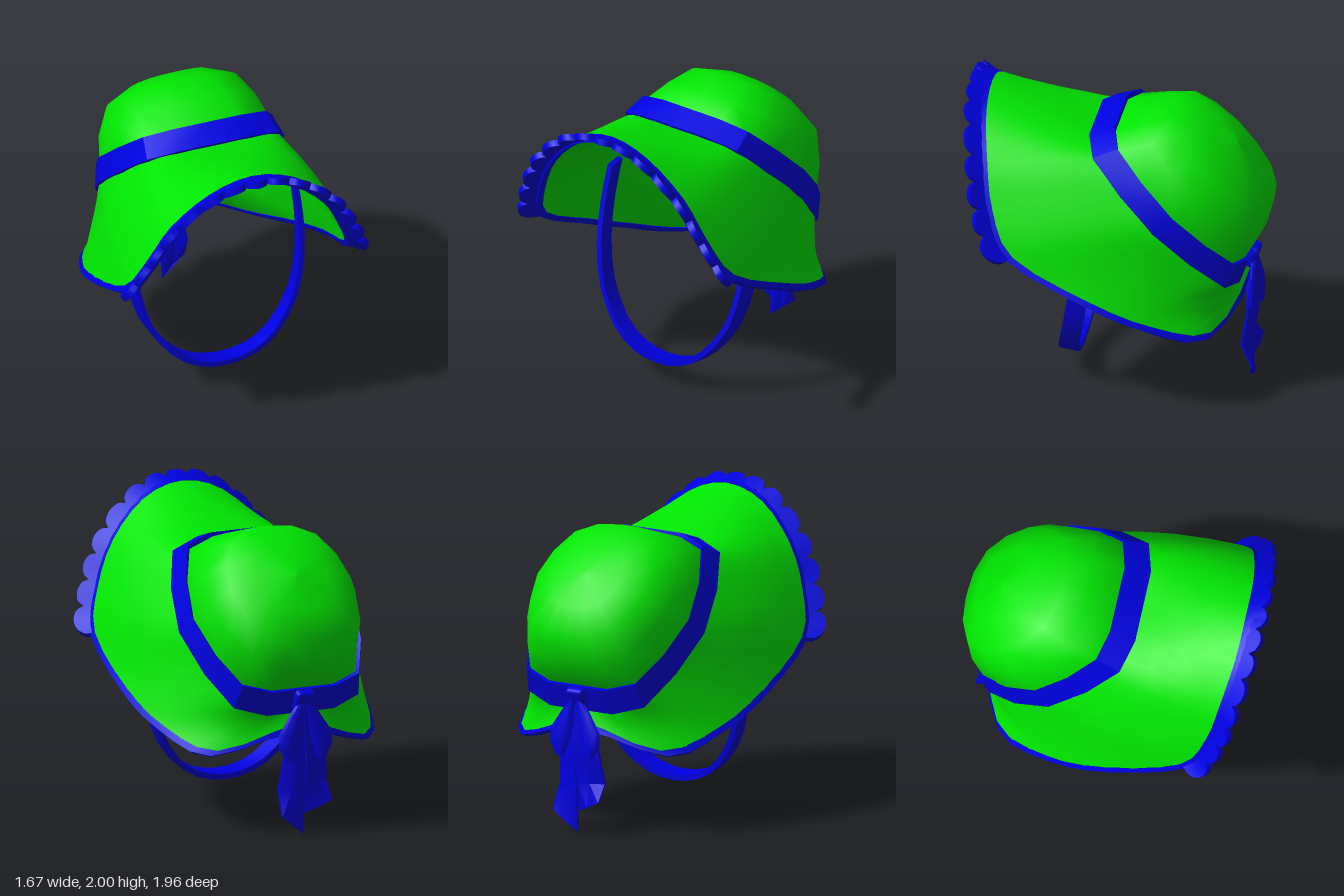
import * as THREE from 'three';
import { toCreasedNormals } from 'three/addons/utils/BufferGeometryUtils.js';
import { RoundedBoxGeometry } from 'three/addons/geometries/RoundedBoxGeometry.js';

const V = (x, y, z) => new THREE.Vector3(x, y, z);
const CENTRE = V(0, 1.36, -0.4);   // middle of the tilted crown base
const TILT = -Math.PI / 4;

// Skin a list of equal-length cross-sections
function loft(rows, { ring = true, closed = false, caps = false, crease = 0 } = {}) {
  const n = rows[0].length, m = rows.length, index = [];
  for (let i = 0; i < (closed ? m : m - 1); i++) {
    for (let j = 0; j < (ring ? n : n - 1); j++) {
      const a = i * n + j, b = i * n + (j + 1) % n;
      const c = ((i + 1) % m) * n + j, d = ((i + 1) % m) * n + (j + 1) % n;
      index.push(a, b, c, b, d, c);
    }
  }
  if (caps) {
    const e = (m - 1) * n;
    for (let j = 1; j < n - 1; j++) index.push(0, j + 1, j, e, e + j, e + j + 1);
  }
  const g = new THREE.BufferGeometry().setFromPoints(rows.flat());
  g.setIndex(index);
  g.computeVertexNormals();
  return crease ? toCreasedNormals(g, crease) : g;
}

// Rectangular cross-section from a0 to a1 along a, and b0 to b1 along b
const rect = (p, a, a0, a1, b, b0, b1) => [[a0, b0], [a1, b0], [a1, b1], [a0, b1]]
  .map(([s, k]) => p.clone().addScaledVector(a, s).addScaledVector(b, k));

// Hoop around the tilted crown axis, starting at the front; square = 0 gives a circle
const SQUARED = [[0, 1], [0.39, 1], [0.72, 0.88], [0.9, 0.48], [1, 0]];
const hoop = ([r, height, shift, scaleX, square]) => Array.from({ length: 16 }, (_, i) => {
  const a = i * Math.PI / 8, sin = Math.sin(a), cos = Math.cos(a);
  const [sx, sz] = SQUARED[i % 8 <= 4 ? i % 8 : 8 - i % 8];
  const flip = i > 4 && i < 12 ? -1 : 1;
  const x = THREE.MathUtils.lerp(sin, i < 8 ? sx : -sx, square);
  const z = THREE.MathUtils.lerp(cos, i % 8 === 0 ? Math.sign(cos) : flip * sz, square);
  return V(scaleX * r * x, height, r * z + shift).applyAxisAngle(V(1, 0, 0), TILT).add(CENTRE);
});

export function createModel() {
  const model = new THREE.Group();
  const green = new THREE.MeshStandardMaterial({ color: 0x00e600, side: THREE.DoubleSide });
  green.name = 'bonnet green';
  const blue = new THREE.MeshStandardMaterial({ color: 0x0000e0, side: THREE.DoubleSide });
  blue.name = 'ribbon blue';
  const add = (name, geometry, material) => {
    const mesh = new THREE.Mesh(geometry, material);
    mesh.name = name;
    model.add(mesh);
    return mesh;
  };

  // Crown and hat band: rows of radius, height, shift, x scale, squareness
  add('crown', loft([[0.58, -0.18, 0, 0.95, 1], [0.585, 0.03, 0, 0.95, 1], [0.535, 0.2, -0.02, 0.96, 0.6],
    [0.445, 0.355, -0.02, 0.96, 0.4], [0.26, 0.437, -0.02, 0.95, 0.4], [0, 0.467, -0.02, 0.95, 0]].map(hoop)), green);
  add('hatBand', loft([[0.588, 0.02, 0, 0.955, 1], [0.612, 0.035, 0, 0.94, 1], [0.685, -0.12, 0, 0.9, 1],
    [0.65, -0.14, 0, 0.9, 1]].map(hoop), { crease: 0.6 }), blue);

  // Brim: guide curves at the outer edge, the band and the opening
  const half = [[0, 1.97, 0.86], [0.28, 1.885, 0.85], [0.525, 1.65, 0.8], [0.665, 1.375, 0.74],
    [0.765, 1.1, 0.59], [0.797, 0.84, 0.09], [0.735, 0.665, -0.3], [0.54, 0.55, -0.66], [0, 0.7, -0.815]];
  const edgePoints = Array.from({ length: 16 }, (_, i) => {
    const [x, y, z] = half[i <= 8 ? i : 16 - i];
    return V(i <= 8 ? x : -x, y, z);
  });
  const [edge, bandEdge, openingEdge] = [edgePoints, hoop([0.66, -0.125, 0, 0.9, 1]), hoop([0.562, -0.17, 0, 0.95, 1])]
    .map((points) => new THREE.CatmullRomCurve3(points, true, 'catmullrom'));
  const wrap = (t) => ((t % 1) + 1) % 1;
  const frame = (t, flare = 0) => {
    const at = (s) => edge.getPoint(wrap(s));
    const p = at(t), q = bandEdge.getPoint(wrap(t));
    const length = p.distanceTo(q);
    const out = p.clone().sub(q).normalize()
      .addScaledVector(V(p.x, p.y - 1.1, 0).normalize(), flare * Math.abs(p.x)).normalize();
    const along = at(t + 0.004).sub(at(t - 0.004));
    const normal = out.clone().cross(along).normalize();
    return { p, q, out, normal, length };
  };

  const brim = [], lining = [], trim = [];
  for (let i = 0; i < 48; i++) {
    const t = i / 48, { p, q, out, normal, length } = frame(t);
    const bulge = 0.035 * length * Math.sin(2 * Math.PI * t) ** 2;
    const span = (from, to) => [0, 0.25, 0.5, 0.75, 1].map((s) => from.clone().lerp(to, s)
      .addScaledVector(normal, bulge * Math.sin(Math.PI * s)));
    brim.push(span(q, p));
    lining.push(span(openingEdge.getPoint(t), p.clone().addScaledVector(normal, -0.04)));
    trim.push(rect(p, out, -0.025, 0.03, normal, -0.046, 0.003));
  }
  add('brim', loft(brim, { ring: false, closed: true }), green);
  add('brimLining', loft(lining, { ring: false, closed: true }), green);
  add('brimTrim', loft(trim, { closed: true, crease: 0.7 }), blue);

  // Scalloped frill flaring from the front of the brim
  const frill = [], scallops = 15, steps = 8;
  for (let i = 0; i <= scallops * steps; i++) {
    const { p, out, normal } = frame(-0.25 + 0.5 * i / (scallops * steps), 1.2);
    const bump = Math.sqrt(Math.abs(Math.sin(Math.PI * i / steps)));
    frill.push(rect(p, out, 0, 0.055 + 0.06 * bump, normal, -0.042, 0));
  }
  add('scallopedFrill', loft(frill, { caps: true, crease: 0.7 }), blue);

  // Chin strap: a flat ribbon hanging from both sides
  const strapHalf = [[0.555, 1.3, 0.07], [0.575, 1.05, 0.12], [0.56, 0.78, 0.18], [0.495, 0.52, 0.23],
    [0.35, 0.31, 0.28], [0.19, 0.2, 0.3]];
  const strapCurve = new THREE.CatmullRomCurve3([...strapHalf.map((p) => V(...p)), V(0, 0.165, 0.305),
    ...strapHalf.map(([x, y, z]) => V(-x, y, z)).reverse()], false, 'catmullrom');
  const strap = Array.from({ length: 25 }, (_, i) => {
    const d = strapCurve.getTangent(i / 24), across = V(-d.y, d.x, 0).normalize();
    const width = V(0, 0, 1).addScaledVector(across, -0.12);
    return rect(strapCurve.getPoint(i / 24), width, -0.065, 0.065, across, -0.018, 0.018);
  });
  add('chinStrap', loft(strap, { caps: true, crease: 0.6 }), blue);

  // Bow at the back: knot, drooping loops and tails
  const knot = add('bowKnot', new RoundedBoxGeometry(0.13, 0.15, 0.07, 2, 0.025), blue);
  knot.position.set(0, 0.875, -0.84);
  knot.rotation.x = -0.4;

  // Rows: y, inner x, outer x, inner z, outer z
  const tails = {
    leftTail: [1, [[0.86, 0, 0.03, -0.85, -0.85], [0.68, 0, 0.1, -0.84, -0.82], [0.5, 0, 0.135, -0.86, -0.82],
      [0.3, 0, 0.16, -0.84, -0.79], [[0.01, 0.14], 0, 0.165, -0.825, -0.86]]],
    rightTail: [-1, [[0.86, 0, 0.03, -0.85, -0.85], [0.68, 0, 0.13, -0.85, -0.82], [0.5, 0.005, 0.165, -0.87, -0.82],
      [0.33, 0.005, 0.185, -0.84, -0.79], [[0.14, 0.22], 0.005, 0.185, -0.82, -0.865]]],
  };
  for (const [name, [side, rows]] of Object.entries(tails)) {
    add(name, loft(rows.map(([y, x0, x1, z0, z1]) => {
      const [y0, y1] = Array.isArray(y) ? y : [y, y];
      const mid = V(side * (x0 + x1) / 2, (y0 + y1) / 2, (z0 + z1) / 2 - 0.015);
      const front = [V(side * x0, y0, z0), mid, V(side * x1, y1, z1)];
      const back = front.map((p) => p.clone().add(V(0, 0, -0.015))).reverse();
      return [...front, ...back];
    }), { caps: true, crease: 0.5 }), blue);
  }

  // Rows: centre x, y, z, half width, half depth
  const loopRows = [[0.02, 0.87, -0.855, 0.02, 0.02], [0.06, 0.78, -0.855, 0.045, 0.025],
    [0.11, 0.65, -0.865, 0.075, 0.03], [0.125, 0.57, -0.87, 0.065, 0.03], [0.115, 0.5, -0.88, 0.03, 0.015]];
  for (const [name, side] of [['leftLoop', 1], ['rightLoop', -1]]) {
    add(name, loft(loopRows.map(([x, y, z, w, d]) => Array.from({ length: 8 }, (_, k) => {
      const a = k * Math.PI / 4;
      return V(side * (x + w * Math.cos(a)), y + 0.3 * w * Math.cos(a), z + d * Math.sin(a));
    })), { caps: true, crease: 0.9 }), blue);
  }
  return model;
}
